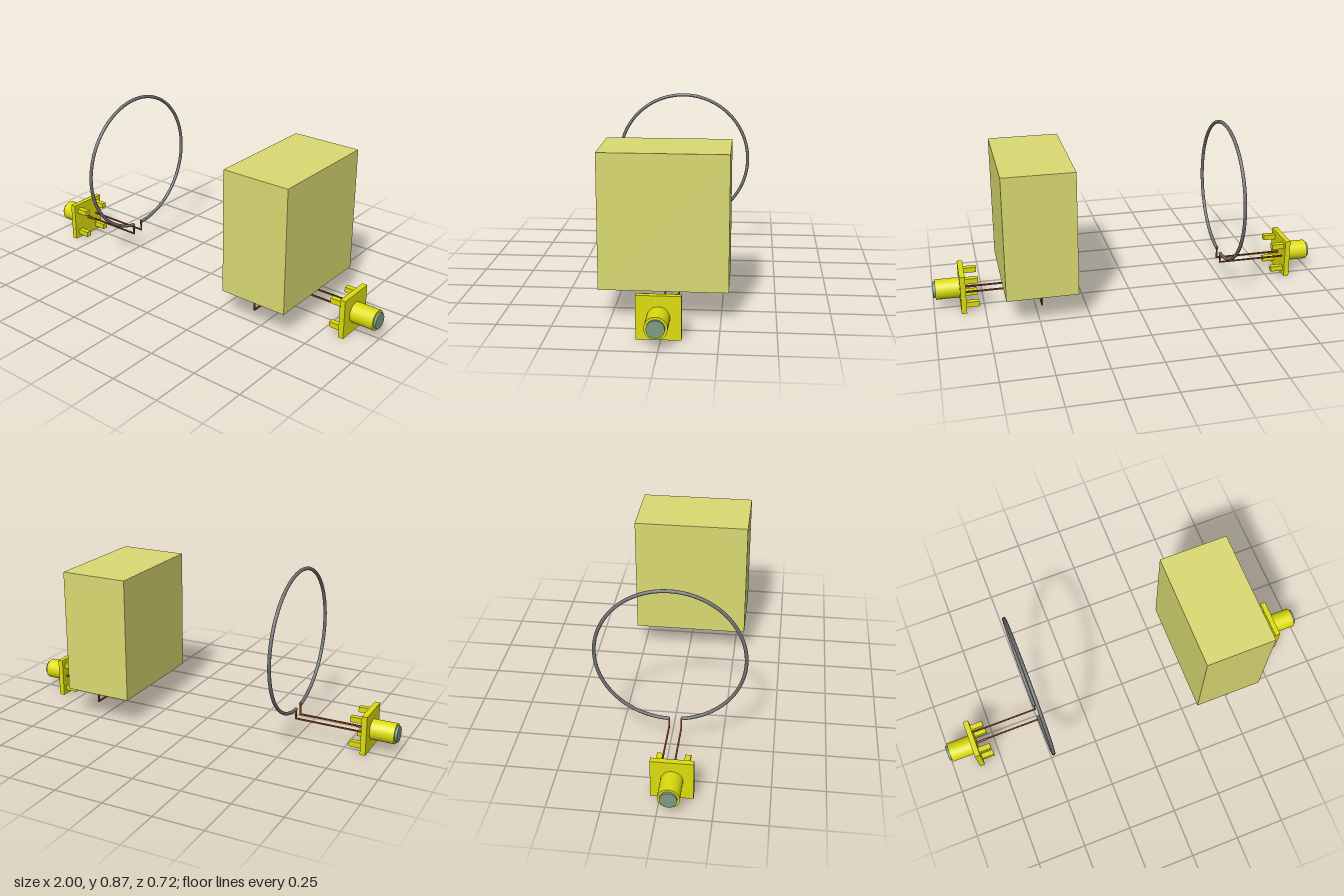
import * as THREE from 'three';

const mat = (color) => new THREE.MeshStandardMaterial({ color });
const yellow = mat(0xdddd0d), paleYellow = mat(0xdada72), copper = mat(0x8b4513);
const steel = mat(0x707070), glass = mat(0x7f9b83);

function add(parent, name, geometry, material, x = 0, y = 0, z = 0) {
  const mesh = new THREE.Mesh(geometry, material);
  mesh.name = name;
  mesh.position.set(x, y, z);
  parent.add(mesh);
  return mesh;
}

// Cylinder lying along x, from x0 to x1
function rod(parent, name, radius, x0, x1, material) {
  const g = new THREE.CylinderGeometry(radius, radius, x1 - x0, 32).rotateZ(-Math.PI / 2);
  return add(parent, name, g, material, (x0 + x1) / 2);
}

// Square-section wire through axis-aligned points, with mitre-like overlapping corners
function wire(parent, name, points, t = 0.007) {
  const group = new THREE.Group();
  group.name = name;
  for (let i = 1; i < points.length; i++) {
    const a = new THREE.Vector3(...points[i - 1]), b = new THREE.Vector3(...points[i]);
    const size = b.clone().sub(a);
    const mid = a.add(b).multiplyScalar(0.5);
    const g = new THREE.BoxGeometry(Math.abs(size.x) + t, Math.abs(size.y) + t, Math.abs(size.z) + t);
    add(group, 'wireSegment', g, copper, mid.x, mid.y, mid.z);
  }
  parent.add(group);
}

// Coaxial connector facing +x: flange, four legs, barrel and core
function connector(name, z) {
  const group = new THREE.Group();
  group.name = name;
  group.position.set(0, 0.1, z);
  add(group, 'flange', new THREE.BoxGeometry(0.027, 0.2, 0.198), yellow, 0.855);
  for (const sy of [-1, 1]) for (const sz of [-1, 1])
    add(group, 'leg', new THREE.BoxGeometry(0.066, 0.027, 0.027), yellow, 0.81, sy * 0.064, sz * 0.064);
  rod(group, 'barrel', 0.051, 0.868, 0.988, yellow);
  rod(group, 'core', 0.04, 0.97, 1, glass);
  rod(group, 'pin', 0.006, 0.785, 0.845, copper);
  return group;
}

export function createModel() {
  const model = new THREE.Group();

  // Block side
  model.add(connector('leftConnector', 0.01));
  add(model, 'block', new THREE.BoxGeometry(0.352, 0.628, 0.587), paleYellow, 0.486, 0.459, 0.009);
  for (const [zIn, zOut] of [[0.007, 0.29], [-0.055, -0.27]])
    wire(model, 'blockWire', [[0.842, 0.102, zIn], [0.49, 0.102, zIn], [0.49, 0.102, zOut], [0.49, 0.15, zOut]]);

  // Loop side
  const right = connector('rightConnector', 0.055);
  right.rotation.y = Math.PI;
  model.add(right);
  for (const z of [-0.005, 0.054])
    wire(model, 'loopWire', [[-0.842, 0.102, z], [-0.493, 0.102, z], [-0.493, 0.152, z]]);

  // Open ring in the yz plane, with a gap at the bottom between the two wires
  const R = 0.353, r = 0.0085;
  const start = Math.asin(0.054 / R), end = Math.asin(-0.005 / R) + Math.PI * 2;
  class Arc extends THREE.Curve {
    getPoint(t, target = new THREE.Vector3()) {
      const a = start + (end - start) * t;
      return target.set(0, -R * Math.cos(a), R * Math.sin(a));
    }
  }
  const ring = new THREE.Group();
  ring.name = 'loop';
  ring.position.set(-0.493, 0.505, 0);
  add(ring, 'ring', new THREE.TubeGeometry(new Arc(), 96, r, 12), steel);
  for (const [a, dir] of [[start, -1], [end, 1]]) {
    const cap = add(ring, 'ringEnd', new THREE.CircleGeometry(r, 12), steel, 0, -R * Math.cos(a), R * Math.sin(a));
    const tangent = new THREE.Vector3(0, Math.sin(a), Math.cos(a)).multiplyScalar(dir);
    cap.quaternion.setFromUnitVectors(new THREE.Vector3(0, 0, 1), tangent);
  }
  model.add(ring);

  return model;
}
